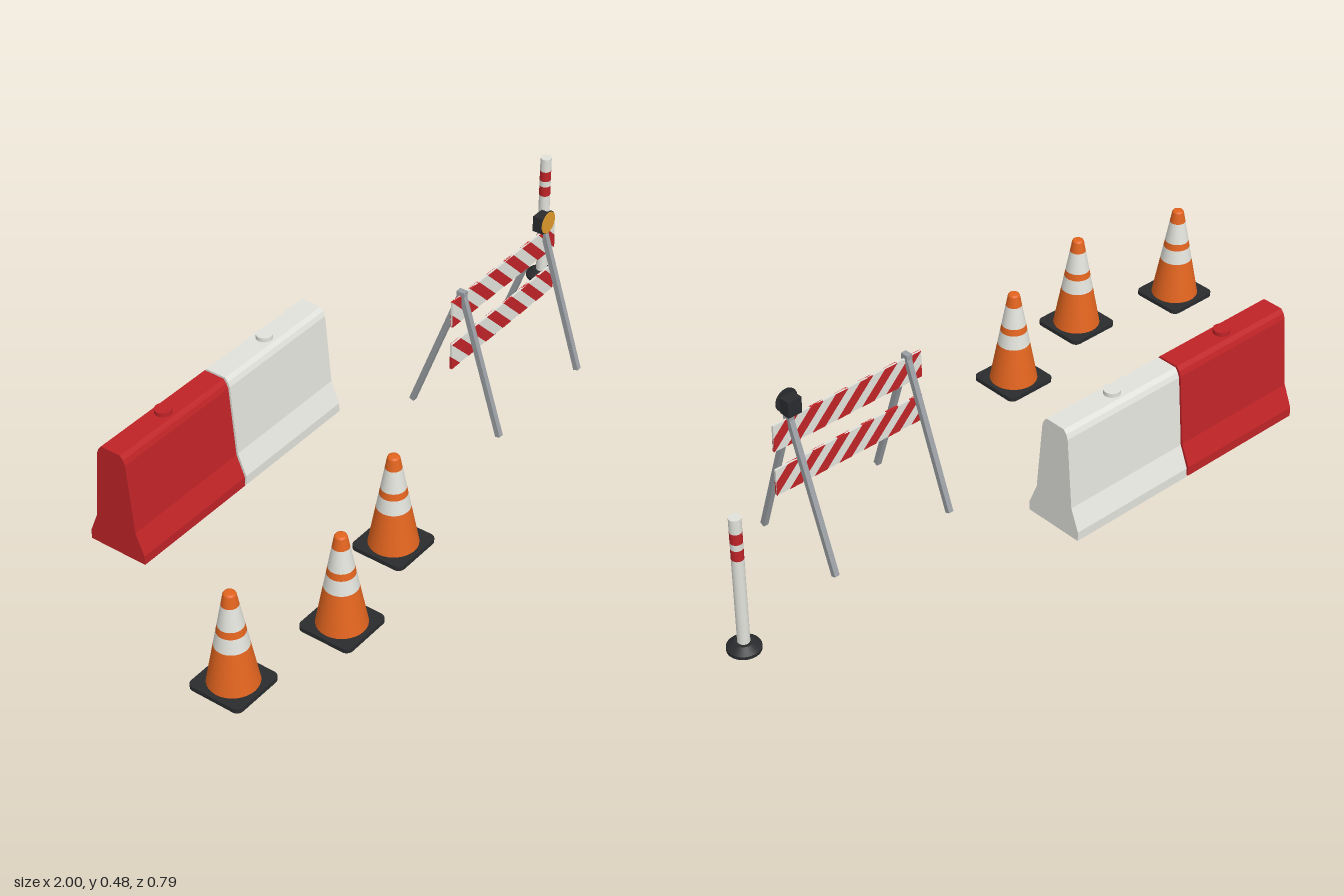
import * as THREE from 'three';

const paint = (name, color) => Object.assign(new THREE.MeshStandardMaterial({ color }), { name });
const orange = paint('cone orange', 0xe2641f);
const white = paint('off white', 0xe2e2dc);
const red = paint('signal red', 0xbf2327);
const rubber = paint('black rubber', 0x2a2b2e);
const steel = paint('grey steel', 0x9a9ea2);
const amber = paint('amber lens', 0xdf9a2a);

function add(parent, name, geometry, material, x = 0, y = 0, z = 0) {
  const mesh = new THREE.Mesh(geometry, material);
  mesh.name = name;
  mesh.position.set(x, y, z);
  parent.add(mesh);
  return mesh;
}

function group(parent, name, x = 0, y = 0, z = 0) {
  const g = new THREE.Group();
  g.name = name;
  g.position.set(x, y, z);
  parent.add(g);
  return g;
}

// Stack of open bands, each [name, bottom, top, material], radius given by a rule
function bands(parent, list, radiusAt) {
  for (const [name, y0, y1, mat] of list) {
    add(parent, name, new THREE.CylinderGeometry(radiusAt(y1), radiusAt(y0), y1 - y0, 32, 1, true), mat, 0, (y0 + y1) / 2);
  }
}

function lathe(points) {
  return new THREE.LatheGeometry(points.map(p => new THREE.Vector2(...p)), 32);
}

function trafficCone(parent, x, z) {
  const cone = group(parent, 'trafficCone', x, 0, z);
  // Rounded square foot
  const s = 0.079, r = 0.018, foot = new THREE.Shape();
  foot.moveTo(s - r, -s);
  [[1, -1], [1, 1], [-1, 1], [-1, -1]].forEach(([a, b], i) => {
    const turn = Math.PI / 2 * (i - 1);
    foot.absarc(a * (s - r), b * (s - r), r, turn, turn + Math.PI / 2, false);
  });
  const footGeo = new THREE.ExtrudeGeometry(foot, { depth: 0.012, bevelEnabled: false, curveSegments: 5 });
  add(cone, 'coneBase', footGeo.rotateX(-Math.PI / 2), rubber);
  // Tapered body with reflective bands
  bands(cone, [
    ['coneLowerBody', 0.012, 0.128, orange], ['lowerReflector', 0.128, 0.169, white],
    ['coneMiddleBody', 0.169, 0.188, orange], ['upperReflector', 0.188, 0.249, white],
    ['coneUpperBody', 0.249, 0.28, orange],
  ], y => 0.066 + (0.0165 - 0.066) * (y - 0.012) / 0.268);
  add(cone, 'coneTip', lathe([[0.0165, 0.28], [0.0145, 0.2835], [0.011, 0.285], [0, 0.285]]), orange);
}

function barrier(parent, name, x, material) {
  const unit = group(parent, name, x, 0, -0.305);
  // Stepped safety profile extruded along x
  const half = [[0.089, 0], [0.089, 0.027], [0.0635, 0.09], [0.0455, 0.295], [0.04, 0.309], [0.031, 0.32]];
  const outline = [...half, ...half.slice().reverse().map(([a, b]) => [-a, b])];
  const shape = new THREE.Shape(outline.map(p => new THREE.Vector2(...p)));
  const length = 0.397;
  const geo = new THREE.ExtrudeGeometry(shape, { depth: length, bevelEnabled: false });
  geo.translate(0, 0, -length / 2).rotateY(Math.PI / 2);
  add(unit, 'barrierBody', geo, material);
  add(unit, 'fillerCap', new THREE.CylinderGeometry(0.023, 0.023, 0.013, 24), material, 0, 0.3255);
}

// Keep the part of a convex polygon where side * (x - limit) <= 0
function clip(poly, limit, side) {
  const out = [];
  poly.forEach((p, i) => {
    const q = poly[(i + 1) % poly.length];
    const dp = side * (p.x - limit), dq = side * (q.x - limit);
    if (dp <= 0) out.push(p);
    if (dp * dq < 0) out.push(p.clone().lerp(q, dp / (dp - dq)));
  });
  return out;
}

function stripedBoard(parent, y) {
  const L = 0.478, h = 0.078, w = 0.04;
  const board = group(parent, 'stripedBoard', 0.197, y, 0.0675);
  add(board, 'boardPanel', new THREE.BoxGeometry(L, h, 0.006), white, L / 2, h / 2);
  // Diagonal stripes showing on both faces
  for (let a = -2 * w; a < L; a += 2 * w) {
    let poly = [[a, h], [a + h, 0], [a + h + w, 0], [a + w, h]].map(p => new THREE.Vector2(...p));
    poly = clip(clip(poly, 0, -1), L, 1);
    if (poly.length < 3) continue;
    const geo = new THREE.ExtrudeGeometry(new THREE.Shape(poly), { depth: 0.008, bevelEnabled: false });
    add(board, 'redStripe', geo, red, 0, 0, -0.004);
  }
}

function barricade(parent) {
  const frame = group(parent, 'barricade');
  stripedBoard(frame, 0.33);
  stripedBoard(frame, 0.196);
  // Folding legs joined by a hinge at the top
  for (const x of [0.243, 0.623]) {
    for (const footZ of [0.197, -0.088]) {
      const topZ = 0.0675, topY = 0.416, footY = 0.004;
      const length = Math.hypot(topY - footY, topZ - footZ);
      const leg = add(frame, 'leg', new THREE.BoxGeometry(0.015, length, 0.015), steel, x, (topY + footY) / 2, (topZ + footZ) / 2);
      leg.rotation.x = Math.atan2(topZ - footZ, topY - footY);
    }
    add(frame, 'hinge', new THREE.BoxGeometry(0.017, 0.016, 0.024), steel, x, 0.412, 0.0675);
  }
  // Warning lamp
  const lamp = group(frame, 'warningLamp', 0.614, 0.447, 0);
  add(lamp, 'lampHousing', new THREE.BoxGeometry(0.042, 0.046, 0.033), rubber, 0, -0.006, 0.0685);
  const disc = (name, r, depth, mat, z) =>
    add(lamp, name, new THREE.CylinderGeometry(r, r, depth, 32).rotateX(Math.PI / 2), mat, 0, 0, z);
  disc('lampRim', 0.033, 0.003, rubber, 0.0855);
  disc('lampLens', 0.031, 0.003, amber, 0.0875);
}

function delineator(parent) {
  const post = group(parent, 'delineatorPost', 0.956, 0, -0.145);
  add(post, 'postBase', new THREE.CylinderGeometry(0.044, 0.044, 0.009, 32), rubber, 0, 0.0045);
  add(post, 'postBaseSlope', new THREE.CylinderGeometry(0.025, 0.044, 0.015, 32), rubber, 0, 0.0165);
  bands(post, [
    ['postTube', 0.02, 0.279, white], ['lowerRedBand', 0.279, 0.31, red],
    ['postGap', 0.31, 0.328, white], ['upperRedBand', 0.328, 0.359, red],
    ['postTop', 0.359, 0.4, white],
  ], () => 0.016);
  add(post, 'postCap', new THREE.CircleGeometry(0.016, 32).rotateX(-Math.PI / 2), white, 0, 0.4);
}

export function createModel() {
  const model = new THREE.Group();
  model.name = 'roadworkSet';
  trafficCone(model, -0.921, 0.236);
  trafficCone(model, -0.603, 0.316);
  trafficCone(model, -0.284, 0.236);
  barrier(model, 'redBarrier', -0.521, red);
  barrier(model, 'whiteBarrier', -0.118, white);
  barricade(model);
  delineator(model);
  return model;
}
